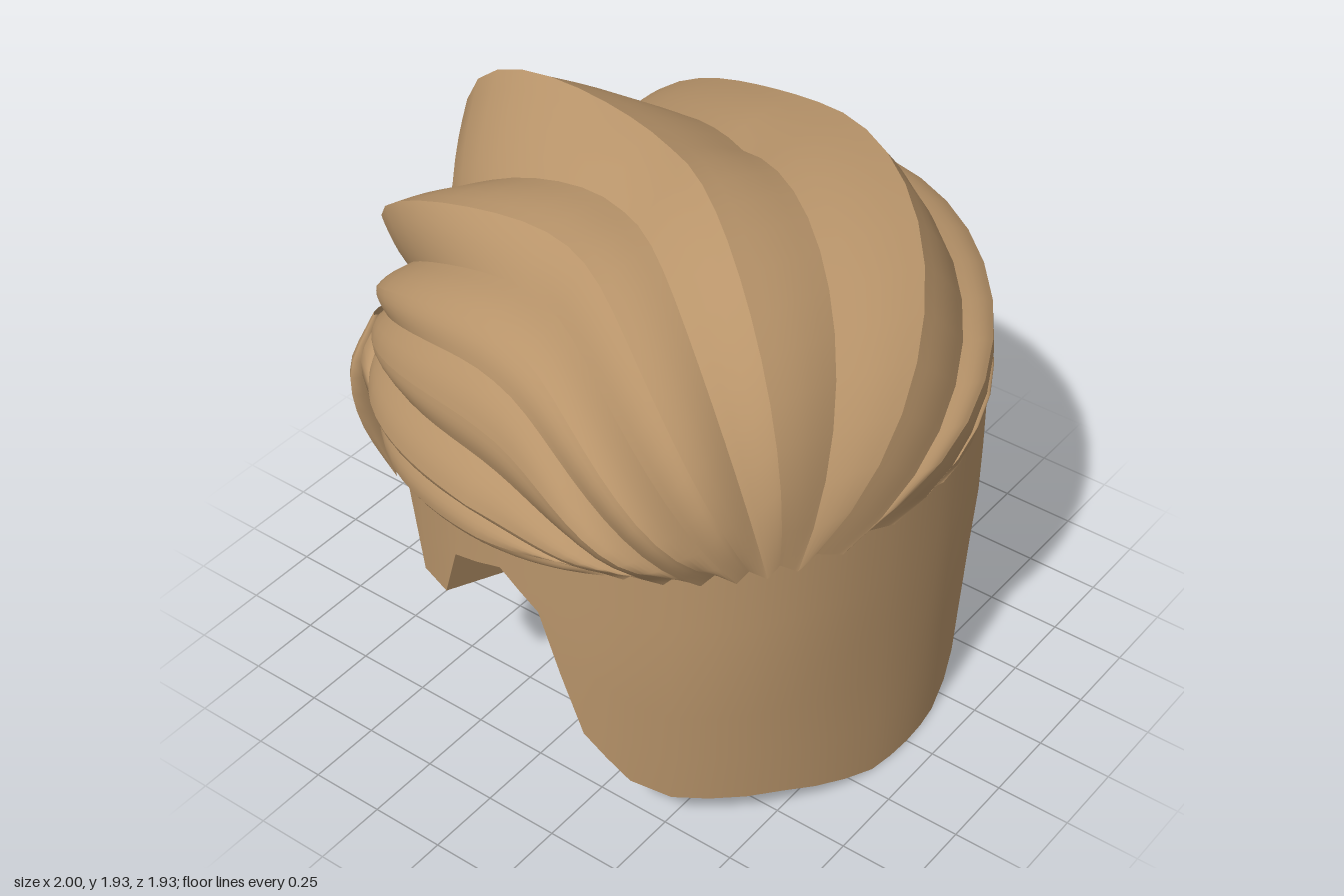
import * as THREE from 'three';

const cloth = new THREE.MeshStandardMaterial({ color: 0xb8946a, side: THREE.DoubleSide });
cloth.name = 'tan cloth';
const V = (x, y, z) => new THREE.Vector3(x, y, z);
const lerp = THREE.MathUtils.lerp;
const CENTRE = V(0, 1.1, 0);

// Surface through rows of points; faces look along (row direction) x (column direction)
function loft(name, rows) {
  const n = rows[0].length, index = [];
  for (let a = 0; a < rows.length - 1; a++) {
    for (let b = 0; b < n - 1; b++) {
      const p = a * n + b, q = p + n;
      index.push(p, q, p + 1, q, q + 1, p + 1);
    }
  }
  const g = new THREE.BufferGeometry().setFromPoints(rows.flat());
  g.setIndex(index);
  g.computeVertexNormals();
  const mesh = new THREE.Mesh(g, cloth);
  mesh.name = name;
  return mesh;
}

// Arc around the head centre from the crown point to an end, swelling most near the end
function arc(crown, tip, u, swell) {
  const a = crown.clone().sub(CENTRE), b = tip.clone().sub(CENTRE);
  const ra = a.length(), rb = b.length(), angle = a.angleTo(b), s = Math.sin(angle);
  return a.multiplyScalar(Math.sin((1 - u) * angle) / s / ra)
    .addScaledVector(b, Math.sin(u * angle) / s / rb)
    .multiplyScalar(lerp(ra, rb, u) * (1 + swell * Math.sin(Math.PI * u ** 1.9)));
}

// Fold line: forehead -> over the head -> back, softened where the two arcs meet
const STEPS = 12;
function foldLine({ start, mid, end, front, back }) {
  let pts = [];
  for (let i = 0; i < STEPS; i++) pts.push(arc(mid, start, 1 - i / STEPS, front));
  for (let i = 0; i <= STEPS; i++) pts.push(arc(mid, end, i / STEPS, back));
  const radii = pts.map((p) => p.length());
  for (let pass = 0; pass < 8; pass++) {
    pts = pts.map((p, i) => (i === 0 || i === 2 * STEPS ? p
      : p.clone().multiplyScalar(2).add(pts[i - 1]).add(pts[i + 1]).setLength(radii[i])));
  }
  pts.push(pts[2 * STEPS].clone().multiplyScalar(0.87));
  return pts.map((p) => p.clone().add(CENTRE));
}

// Seams between wraps: start x, middle x y, end x y z, front swell, back swell
const SEAMS = [
  [0.05, 0.92, 1.02, 0.70, 1.04, -0.62, 0, 0],
  [-0.20, 0.90, 1.26, 0.67, 1.12, -0.66, 0.01, 0.02],
  [-0.40, 0.75, 1.51, 0.61, 1.18, -0.69, 0.02, 0.05],
  [-0.54, 0.30, 1.75, 0.38, 1.24, -0.76, 0.02, 0.07],
  [-0.62, -0.22, 1.84, -0.14, 1.24, -0.79, 0.04, 0.09],
  [-0.69, -0.60, 1.735, -0.28, 1.24, -0.79, 0.07, 0.06],
  [-0.76, -0.84, 1.585, -0.42, 1.25, -0.77, 0.07, 0.04],
  [-0.82, -0.92, 1.32, -0.50, 1.22, -0.75, 0.03, 0.02],
  [-0.87, -0.93, 1.12, -0.57, 1.10, -0.72, 0, 0.02],
  [-0.89, -0.89, 0.97, -0.60, 0.93, -0.62, 0, 0],
].map(([sx, mx, my, ex, ey, ez, front, back]) => ({
  start: V(sx, 1.06, (0.94 ** 2.4 - Math.abs(sx) ** 2.4) ** (1 / 2.4)),
  mid: V(mx, my, 0), end: V(ex, ey, ez), front, back,
}));

// Raised ridge of each wrap: middle x y, front swell, back swell
const RIDGES = [
  [1.0, 1.19, 0, 0.02], [0.905, 1.46, 0.04, 0.04], [0.66, 1.745, 0.03, 0.17],
  [0, 1.922, 0.07, 0.36], [-0.47, 1.86, 0.10, 0.21], [-0.77, 1.69, 0.13, 0.08],
  [-0.925, 1.45, 0.11, 0.04], [-1.0, 1.19, 0.04, 0.03], [-0.965, 1.04, 0, 0.03],
];

// Softly rounded strip between two fold lines
function strip(name, lineA, lineB, puff, cols = 5) {
  return loft(name, lineA.map((p, i) => Array.from({ length: cols + 1 }, (_, c) => {
    const t = c / cols;
    const q = p.clone().lerp(lineB[i], t).sub(CENTRE);
    const fade = Math.min(1, i / 4);
    return q.multiplyScalar(1 + puff * fade * Math.sin(Math.PI * t)).add(CENTRE);
  })));
}

function makeWraps() {
  const wraps = new THREE.Group();
  wraps.name = 'headWraps';
  RIDGES.forEach(([mx, my, front, back], i) => {
    const a = SEAMS[i], b = SEAMS[i + 1];
    const start = a.start.clone().lerp(b.start, 0.6);
    start.y += 0.04;
    const end = a.end.clone().lerp(b.end, 0.55);
    end.x *= 1.03;
    end.z *= 1.03;
    const ridge = foldLine({ start, mid: V(mx, my, 0), end, front, back });
    const wrap = new THREE.Group();
    wrap.name = 'wrap' + (i + 1);
    wrap.add(strip('wrapLowerFace', foldLine(a), ridge, 0.012), strip('wrapUpperFace', ridge, foldLine(b), 0.012));
    wraps.add(wrap);
  });
  return wraps;
}

// Lower rim of the veil: angle from the front in degrees, height
const RIM = [[0, 0], [11, 0], [33, 0.09], [55, 0.12], [63, 0.18], [72, 0.35], [80.5, 0.8], [89, 0.91],
  [101, 0.85], [105, 0.66], [113, 0.66], [120, 0.9], [133, 1.06], [150, 1.17], [180, 1.2]];
// Angles where the rim turns sharply
const CORNERS = [72, 80.5, 89, 101, 105, 113, 120, 133];

function makeVeil() {
  // Add points on long spans so the cloth stays round, then mirror
  const half = [];
  RIM.forEach(([ang, y], i) => {
    if (i) {
      const [a0, y0] = RIM[i - 1], n = Math.ceil((ang - a0) / 8);
      for (let k = 1; k < n; k++) half.push([lerp(a0, ang, k / n), lerp(y0, y, k / n)]);
    }
    half.push([ang, y]);
  });
  const rim = [...half.slice(1).reverse().map(([a, y]) => [-a, y]), ...half];
  const at = (deg, y) => {
    const a = THREE.MathUtils.degToRad(deg), rise = Math.min(1, y / 0.7);
    // Slightly squared in front, drawn in at the nape
    const square = Math.abs(deg) < 90 ? 0.05 * rise * Math.sin(2 * a) ** 2 : 0;
    const r = lerp(0.915, 0.77, THREE.MathUtils.smoothstep(Math.abs(deg), 115, 155)) * (0.985 + 0.015 * rise + square);
    return V(r * Math.sin(a), y, r * Math.cos(a));
  };
  const rows = [];
  for (let i = 0; i <= 6; i++) rows.push(rim.map(([a, y]) => at(a, lerp(1.22, y, i / 6))));
  const veil = new THREE.Group();
  veil.name = 'veil';
  veil.add(loft('veilCloth', rows));
  // Underside folds meet at one point inside, creased at the rim corners
  let from = 0;
  rim.forEach(([a], i) => {
    if (i === 0 || (i < rim.length - 1 && !CORNERS.includes(Math.abs(a)))) return;
    const edge = rows[6].slice(from, i + 1);
    veil.add(loft('veilUnderside', [edge, edge.map(() => V(0, 0.59, 0.12))]));
    from = i;
  });
  return veil;
}

// Tapered leaf-shaped cloth piece along a path
function leaf(name, path, width, depth, peak) {
  const curve = new THREE.CatmullRomCurve3(path);
  const rows = [];
  for (let i = 0; i <= 10; i++) {
    const t = i / 10, p = curve.getPoint(t);
    const s = t < peak ? lerp(0.45, 1, t / peak) : Math.cos((t - peak) / (1 - peak) * Math.PI / 2);
    rows.push(Array.from({ length: 9 }, (_, k) => {
      const a = k / 8 * Math.PI * 2;
      return V(p.x + Math.cos(a) * width * s, p.y, p.z - Math.sin(a) * depth * s);
    }));
  }
  return loft(name, rows.reverse());
}

export function createModel() {
  const model = new THREE.Group();
  model.name = 'wrappedHeadscarf';
  model.add(makeVeil(), makeWraps());
  // Hanging tail and the knot it comes out of
  model.add(leaf('tail', [V(-0.5, 1.26, -0.79), V(-0.53, 1.08, -0.835), V(-0.53, 0.85, -0.835), V(-0.5, 0.59, -0.785)],
    0.085, 0.036, 0.35));
  model.add(leaf('knot', [V(-0.48, 1.26, -0.75), V(-0.54, 1.16, -0.74), V(-0.62, 1.04, -0.65), V(-0.64, 0.93, -0.56)],
    0.09, 0.08, 0.4));
  return model;
}
